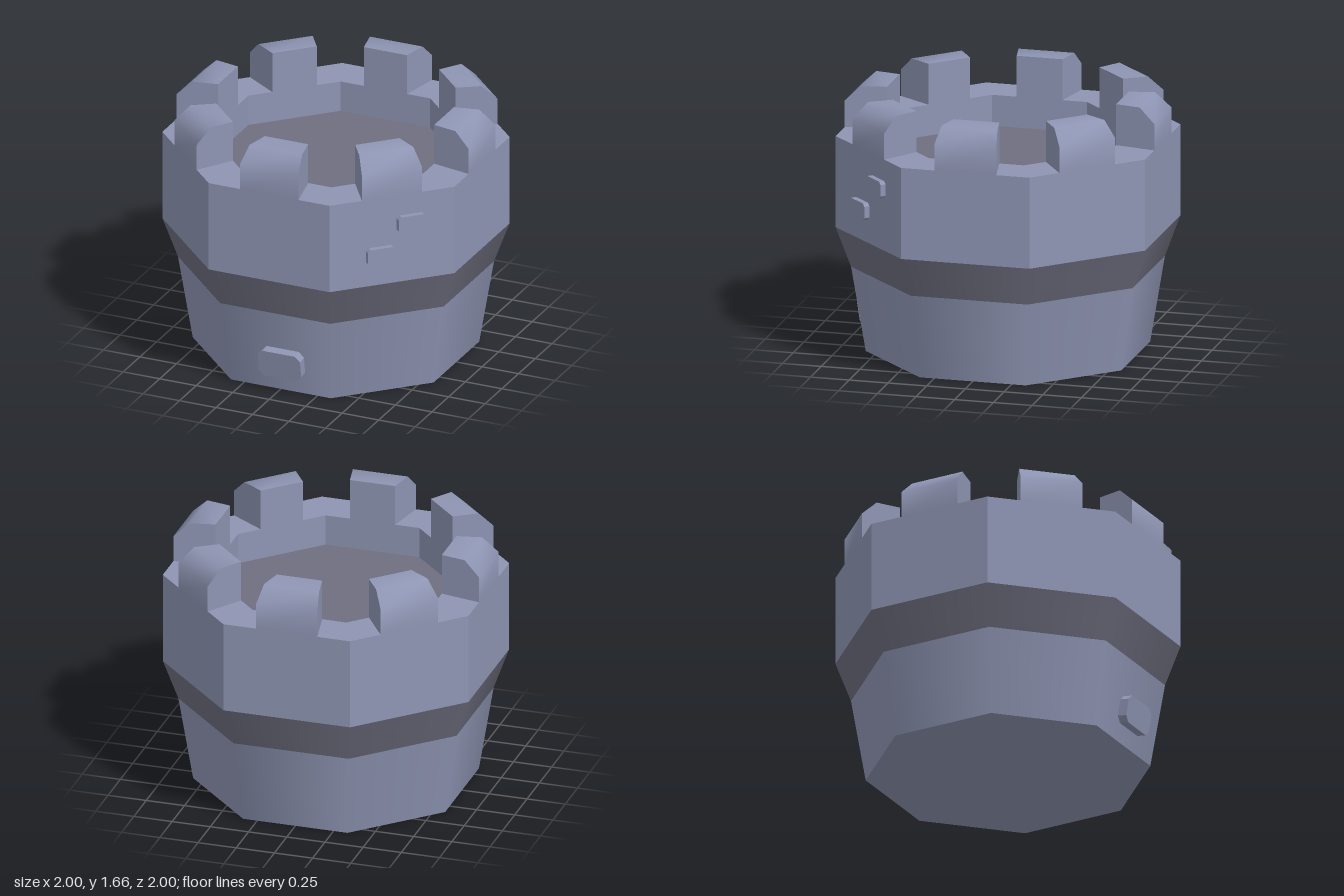
import * as THREE from 'three';
import { toCreasedNormals } from 'three/addons/utils/BufferGeometryUtils.js';

const stone = new THREE.MeshStandardMaterial({ color: 0x8e95b3 });
stone.name = 'blueGreyStone';
const darkStone = new THREE.MeshStandardMaterial({ color: 0x6f6f80 });
darkStone.name = 'darkStone';

const EIGHTH = Math.PI / 4;
const CORNER = 1 / Math.cos(EIGHTH / 2); // flat-to-flat radius -> corner radius

function addMesh(parent, name, geometry, material) {
  const mesh = new THREE.Mesh(geometry, material);
  mesh.name = name;
  parent.add(mesh);
  return mesh;
}

// Octagonal shell from [flat radius, height] points, flat sides facing the axes
function octagonShell(points, smooth) {
  const profile = points.map(([r, y]) => new THREE.Vector2(r * CORNER, y));
  const shell = new THREE.LatheGeometry(profile, 8, EIGHTH / 2);
  if (smooth) return shell;
  const faceted = shell.toNonIndexed();
  faceted.computeVertexNormals();
  return faceted;
}

function octagonDisc(radius, y, facing) {
  return new THREE.CircleGeometry(radius * CORNER, 8, EIGHTH / 2)
    .rotateX(-facing * Math.PI / 2)
    .translate(0, y, 0);
}

// Wedge-shaped battlement block on the +z side, with a chamfered outer top
function merlonGeometry() {
  const inner = 0.74, base = 1.4, top = 1.665;
  const side = new THREE.Shape([
    new THREE.Vector2(inner, base),
    new THREE.Vector2(1, base),
    new THREE.Vector2(1, 1.57),
    new THREE.Vector2(0.9, top),
    new THREE.Vector2(inner, top),
  ]);
  const geometry = new THREE.ExtrudeGeometry(side, { depth: 2, bevelEnabled: false });
  geometry.translate(0, 0, -1).rotateY(-Math.PI / 2);
  // narrow the block towards the middle of the tower
  const p = geometry.attributes.position;
  for (let i = 0; i < p.count; i++) {
    p.setX(i, p.getX(i) * (0.148 + (p.getZ(i) - inner) * 0.2));
  }
  return toCreasedNormals(geometry, 0.9);
}

// Raised stone with cut corners, front face at z = 0
function brickGeometry(width, height, cut, depth) {
  const w = width / 2, h = height / 2;
  const outline = [
    [-w + cut, -h], [w - cut, -h], [w, -h + cut], [w, h - cut],
    [w - cut, h], [-w + cut, h], [-w, h - cut], [-w, -h + cut],
  ].map(([x, y]) => new THREE.Vector2(x, y));
  return new THREE.ExtrudeGeometry(new THREE.Shape(outline), { depth, bevelEnabled: false })
    .translate(0, 0, -depth);
}

export function createModel() {
  const tower = new THREE.Group();
  tower.name = 'towerTop';

  // Tapered base, flaring band, upright wall with rim and sunken floor
  addMesh(tower, 'taperedBase', octagonShell([[0.825, 0], [0.91, 0.55]], true), stone);
  addMesh(tower, 'underside', octagonDisc(0.825, 0, -1), stone);
  addMesh(tower, 'flaredBand', octagonShell([[0.91, 0.55], [1, 0.81]], true), darkStone);
  addMesh(tower, 'parapetWall',
    octagonShell([[1, 0.81], [1, 1.4], [0.74, 1.4], [0.74, 1.2]], false), stone);
  addMesh(tower, 'floor', octagonDisc(0.74, 1.2, 1), darkStone);

  // One battlement block on each side
  const merlon = merlonGeometry();
  for (let i = 0; i < 8; i++) {
    addMesh(tower, `merlon${i + 1}`, merlon, stone).rotation.y = i * EIGHTH;
  }

  // Two small raised stones on the front left diagonal wall
  const wallBricks = new THREE.Group();
  wallBricks.name = 'wallBricks';
  wallBricks.rotation.y = EIGHTH;
  tower.add(wallBricks);
  const smallBrick = brickGeometry(0.185, 0.11, 0.018, 0.07);
  addMesh(wallBricks, 'upperBrick', smallBrick, stone).position.set(0.124, 1.207, 1.036);
  addMesh(wallBricks, 'lowerBrick', smallBrick, stone).position.set(-0.08, 1.015, 1.036);

  // Large raised stone leaning with the base
  const baseBrick = addMesh(tower, 'baseBrick', brickGeometry(0.29, 0.18, 0.035, 0.1), stone);
  baseBrick.position.set(0.032, 0.2, 0.917);
  baseBrick.rotation.x = Math.atan2(0.085, 0.55);

  return tower;
}
